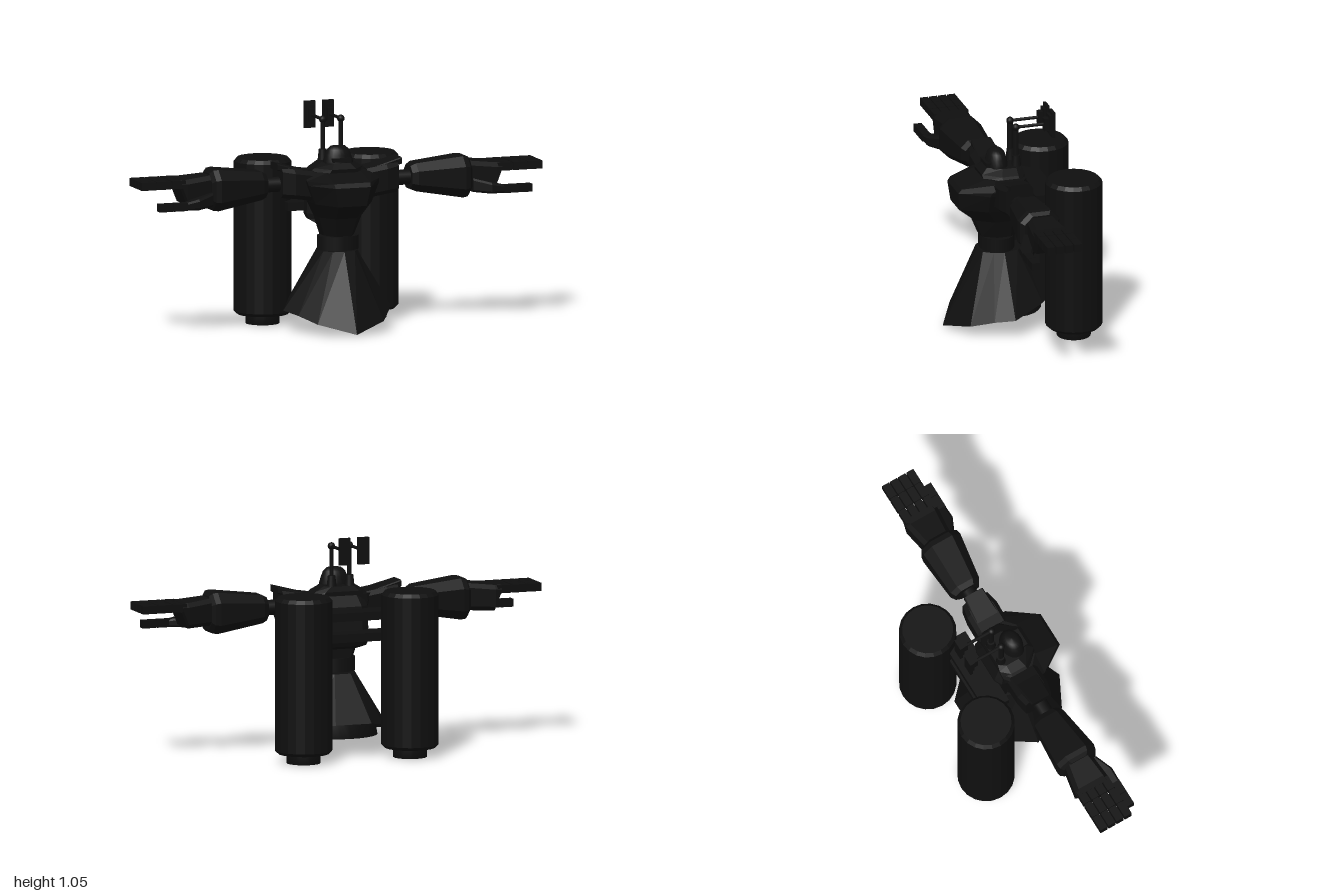
import * as THREE from 'three';

const dark = new THREE.MeshStandardMaterial({ color: 0x0f0f0f });
dark.name = 'black plating';
const darkShell = new THREE.MeshStandardMaterial({ color: 0x0f0f0f, side: THREE.DoubleSide });
darkShell.name = 'black open shell';

// Flat-shaded skin through a list of rings, optionally capped, always facing outwards.
function loft(rings, capped = true) {
  const tris = [];
  const n = rings[0].length;
  for (let r = 0; r < rings.length - 1; r++) {
    for (let i = 0; i < n; i++) {
      const j = (i + 1) % n;
      const [a, b, c, d] = [rings[r][i], rings[r][j], rings[r + 1][j], rings[r + 1][i]];
      tris.push([a, b, c], [a, c, d]);
    }
  }
  const cap = (ring, flip) => {
    const mid = new THREE.Vector3();
    ring.forEach(p => mid.addScaledVector(p, 1 / n));
    ring.forEach((p, i) => {
      const q = ring[(i + 1) % n];
      tris.push(flip ? [mid, q, p] : [mid, p, q]);
    });
  };
  if (capped) {
    cap(rings[0], true);
    cap(rings[rings.length - 1], false);
  }
  const origin = rings[0][0];
  let volume = 0;
  const v = p => p.clone().sub(origin);
  tris.forEach(([a, b, c]) => { volume += v(a).dot(v(b).cross(v(c))); });
  if (volume < 0) tris.forEach(t => t.reverse());
  const geometry = new THREE.BufferGeometry().setFromPoints(tris.flat());
  geometry.computeVertexNormals();
  return geometry;
}

// Chamfered rectangle standing across the arm at a given x.
function armRing(x, y0, y1, z0, z1, c = 0.02) {
  return [[y0, z0 + c], [y0, z1 - c], [y0 + c, z1], [y1 - c, z1], [y1, z1 - c], [y1, z0 + c], [y1 - c, z0], [y0 + c, z0]]
    .map(([y, z]) => new THREE.Vector3(x, y, z));
}

// Horizontal octagon: wide in the middle, narrower at front and back.
function bodyRing(y, front, back, half) {
  const d = front - back;
  const f = half * 0.5;
  return [[f, front], [half, front - d * 0.4], [half, back + d * 0.2], [half * 0.7, back],
    [-half * 0.7, back], [-half, back + d * 0.2], [-half, front - d * 0.4], [-f, front]]
    .map(([x, z]) => new THREE.Vector3(x, y, z));
}

export function createModel() {
  const model = new THREE.Group();
  const add = (parent, name, geometry, x = 0, y = 0, z = 0, material = dark) => {
    const mesh = new THREE.Mesh(geometry, material);
    mesh.name = name;
    mesh.position.set(x, y, z);
    parent.add(mesh);
    return mesh;
  };
  const box = (parent, name, x0, x1, y0, y1, z0, z1) =>
    add(parent, name, new THREE.BoxGeometry(x1 - x0, y1 - y0, z1 - z0), (x0 + x1) / 2, (y0 + y1) / 2, (z0 + z1) / 2);

  // Skirt: small waist opening flaring to a pointed, low front hem
  const hem = [[0, 0.01, 0.345], [0.165, 0.055, 0.26], [0.225, 0.085, 0.16], [0.268, 0.1, 0.07], [0.18, 0.14, -0.09], [0.09, 0.16, -0.175]];
  const waistLine = [[0, 0.175], [0.055, 0.165], [0.085, 0.12], [0.095, 0.07], [0.075, 0], [0.04, -0.03]];
  const around = pts => [...pts, ...pts.slice(1).reverse().map(([x, y, z]) => [-x, y, z])].map(p => new THREE.Vector3(...p));
  const topRing = around(waistLine.map(([x, z]) => [x, 0.379, z]));
  add(model, 'skirt', loft([around(hem), topRing], false), 0, 0, 0, darkShell);
  const lid = new THREE.Shape(topRing.map(p => new THREE.Vector2(p.x, -p.z)));
  add(model, 'skirtTop', new THREE.ShapeGeometry(lid).rotateX(-Math.PI / 2), 0, 0.379, 0, darkShell);

  // Thruster bell hanging inside the skirt
  const bell = [[0, 0.2], [0.13, 0.2], [0.165, 0.085], [0.185, 0.085], [0.17, 0.17]].map(p => new THREE.Vector2(...p));
  add(model, 'skirtThruster', new THREE.LatheGeometry(bell, 24).scale(1, 1, 0.8), 0, 0, 0.02, darkShell);

  // Waist and torso
  add(model, 'waist', new THREE.CylinderGeometry(0.1, 0.1, 0.066, 16).scale(1, 1, 0.83), 0, 0.415, 0.082);
  add(model, 'torso', loft([
    bodyRing(0.45, 0.165, 0, 0.075), bodyRing(0.54, 0.2, -0.005, 0.105), bodyRing(0.61, 0.285, -0.02, 0.14),
    bodyRing(0.7, 0.295, -0.03, 0.175), bodyRing(0.72, 0.28, -0.03, 0.18), bodyRing(0.755, 0.16, -0.03, 0.17),
  ]));
  add(model, 'collar', loft([bodyRing(0.745, 0.165, -0.03, 0.15), bodyRing(0.77, 0.17, -0.03, 0.12), bodyRing(0.795, 0.14, -0.025, 0.08)]));

  // Backpack that carries the tanks
  add(model, 'backpack', loft([
    bodyRing(0.495, 0.03, -0.01, 0.08), bodyRing(0.515, 0.03, -0.07, 0.11), bodyRing(0.54, 0.03, -0.08, 0.12),
    bodyRing(0.7, 0.03, -0.06, 0.12), bodyRing(0.75, 0.03, -0.03, 0.1),
  ]));
  for (const y of [0.57, 0.67]) box(model, 'tankBracket', -0.2, 0.2, y - 0.02, y + 0.02, -0.17, -0.05);

  // Domed head
  const dome = [[0, 0.76], [0.075, 0.76], [0.072, 0.8], [0.063, 0.83], [0.053, 0.855], [0.035, 0.87], [0, 0.874]].map(p => new THREE.Vector2(...p));
  add(model, 'head', new THREE.LatheGeometry(dome, 20).scale(1, 1, 0.75), 0, 0, 0.084);
  box(model, 'visorBrow', -0.045, 0.045, 0.8, 0.818, 0.11, 0.145);

  const tankProfile = [[0, 0.045], [0.12, 0.045], [0.135, 0.06], [0.135, 0.77], [0.12, 0.787], [0, 0.787]].map(p => new THREE.Vector2(...p));
  const nozzleProfile = [[0, 0.03], [0.055, 0.03], [0.06, 0], [0.08, 0], [0.08, 0.05]].map(p => new THREE.Vector2(...p));
  const flat = g => { const f = g.toNonIndexed(); f.computeVertexNormals(); return f; };

  for (const s of [1, -1]) {
    const side = new THREE.Group();
    side.name = s > 0 ? 'leftSide' : 'rightSide';
    side.scale.x = s;
    model.add(side);

    // Large tank with recessed nozzle
    add(side, 'tank', flat(new THREE.LatheGeometry(tankProfile, 20)), 0.267, 0, -0.215);
    add(side, 'nozzle', new THREE.LatheGeometry(nozzleProfile, 20), 0.267, 0, -0.215, darkShell);

    // Shoulder with raised outer lip, then the slim upper arm
    add(side, 'shoulder', loft([
      armRing(0.13, 0.62, 0.76, -0.02, 0.14), armRing(0.23, 0.635, 0.775, -0.02, 0.14), armRing(0.29, 0.64, 0.785, -0.01, 0.125),
    ]));
    add(side, 'shoulderLip', loft([
      armRing(0.17, 0.75, 0.765, 0, 0.12, 0.005), armRing(0.31, 0.77, 0.803, 0.01, 0.11, 0.005),
    ]));
    add(side, 'upperArm', new THREE.CylinderGeometry(0.036, 0.036, 0.16, 12).rotateZ(Math.PI / 2), 0.33, 0.7, 0.065);

    // Heavy forearm widening to the cuff
    add(side, 'forearm', loft([
      armRing(0.36, 0.645, 0.755, -0.005, 0.12, 0.03), armRing(0.385, 0.635, 0.768, -0.02, 0.135, 0.035),
      armRing(0.61, 0.597, 0.793, -0.033, 0.168, 0.045), armRing(0.635, 0.6, 0.79, -0.03, 0.163, 0.045),
      armRing(0.65, 0.615, 0.775, -0.015, 0.145, 0.04),
    ]));

    // Hand with four flat fingers and a low thumb
    add(side, 'palm', loft([
      armRing(0.63, 0.64, 0.77, -0.005, 0.13), armRing(0.77, 0.635, 0.756, -0.03, 0.145), armRing(0.8, 0.71, 0.756, -0.03, 0.145),
    ]));
    for (let i = 0; i < 4; i++) {
      const z = -0.008 + i * 0.044;
      for (let k = 0; k < 3; k++) {
        box(side, 'finger', 0.78 + k * 0.074, 0.847 + k * 0.0765, 0.717, 0.755, z - 0.019, z + 0.019);
      }
      box(side, 'fingerCore', 0.78, 0.99, 0.724, 0.748, z - 0.014, z + 0.014);
    }
    add(side, 'thumbBase', loft([
      armRing(0.65, 0.625, 0.69, 0.1, 0.16, 0.01), armRing(0.73, 0.618, 0.67, 0.12, 0.197, 0.01), armRing(0.8, 0.62, 0.655, 0.155, 0.197, 0.008),
    ]));
    box(side, 'thumb', 0.79, 0.86, 0.619, 0.656, 0.158, 0.197);
    box(side, 'thumbTip', 0.865, 0.93, 0.619, 0.656, 0.158, 0.197);
    box(side, 'thumbCore', 0.79, 0.92, 0.626, 0.649, 0.164, 0.191);

    // Periscope: socket, post, ball joint, boom and stepped plates
    add(side, 'mastSocket', new THREE.CylinderGeometry(0.018, 0.028, 0.09, 12), 0.045, 0.8, -0.002);
    add(side, 'mast', new THREE.CylinderGeometry(0.014, 0.014, 0.15, 10).scale(0.7, 1, 1), 0.045, 0.91, 0);
    add(side, 'mastJoint', new THREE.SphereGeometry(0.018, 12, 8), 0.045, 0.985, 0);
    add(side, 'boom', new THREE.CylinderGeometry(0.008, 0.008, 0.14, 8).rotateX(Math.PI / 2), 0.045, 0.985, -0.07);
    box(side, 'plateHub', 0.031, 0.061, 0.954, 1.016, -0.16, -0.135);
    box(side, 'plateStep', 0.024, 0.068, 0.938, 1.032, -0.172, -0.158);
    box(side, 'plate', 0.019, 0.074, 0.92, 1.048, -0.185, -0.17);
  }
  return model;
}
